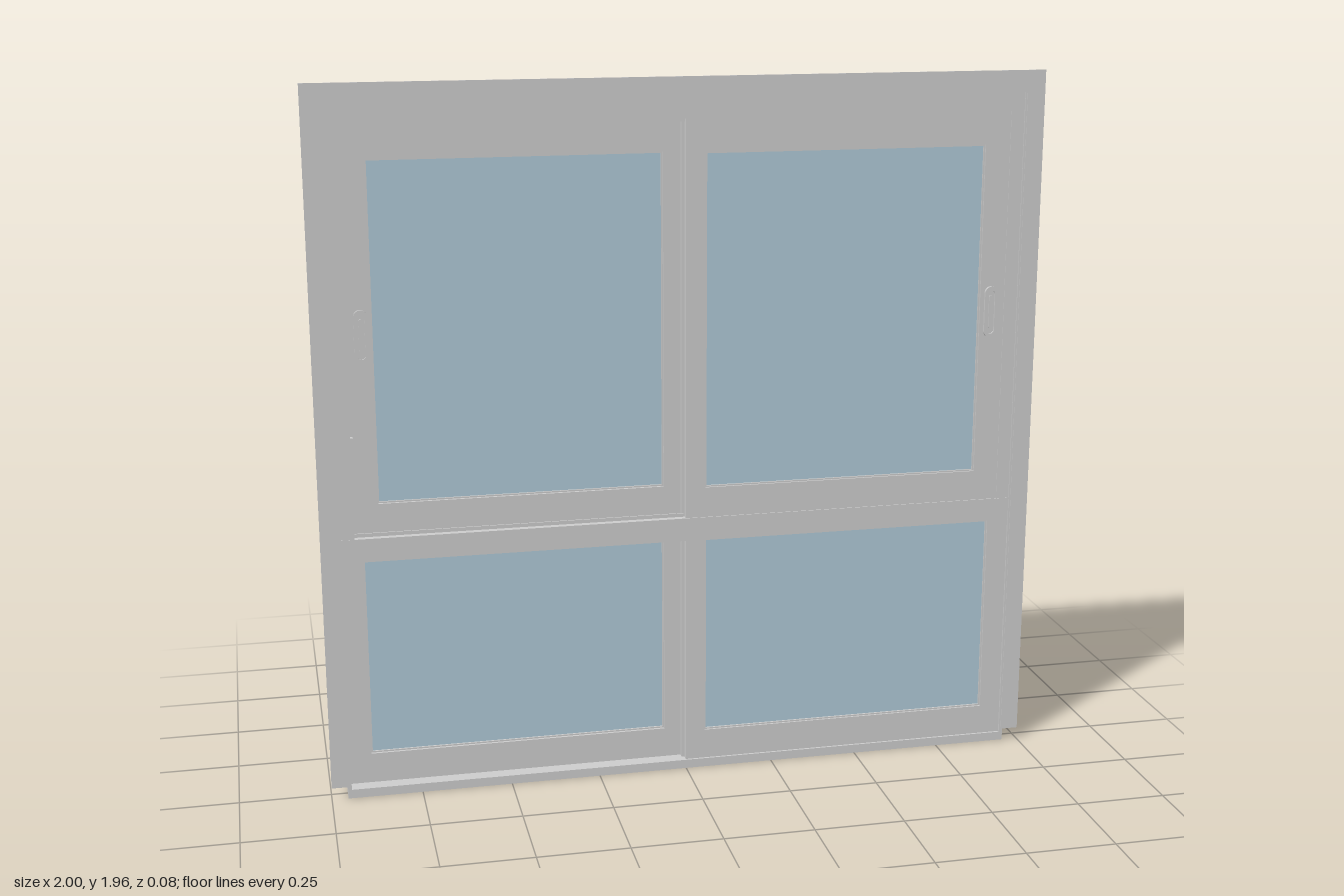
import * as THREE from 'three';

const grey = new THREE.MeshStandardMaterial({ color: 0xcccccc });
const blue = new THREE.MeshStandardMaterial({ color: 0xaec8d6 });

// Box given by its limits on each axis
function box(name, [x0, x1], [y0, y1], [z0, z1], material = grey) {
  const mesh = new THREE.Mesh(new THREE.BoxGeometry(x1 - x0, y1 - y0, z1 - z0), material);
  mesh.position.set((x0 + x1) / 2, (y0 + y1) / 2, (z0 + z1) / 2);
  mesh.name = name;
  return mesh;
}

function trace(path, x0, x1, y0, y1) {
  path.moveTo(x0, y0);
  path.lineTo(x1, y0);
  path.lineTo(x1, y1);
  path.lineTo(x0, y1);
  path.closePath();
  return path;
}

function extrude(name, shape, [z0, z1], curveSegments = 10) {
  const geometry = new THREE.ExtrudeGeometry(shape, { depth: z1 - z0, bevelEnabled: false, curveSegments });
  geometry.translate(0, 0, z0);
  const mesh = new THREE.Mesh(geometry, grey);
  mesh.name = name;
  return mesh;
}

// Rectangular frame with a rectangular opening
function ring(name, outer, inner, z) {
  const shape = trace(new THREE.Shape(), ...outer);
  shape.holes.push(trace(new THREE.Path(), ...inner));
  return extrude(name, shape, z);
}

// Sash: frame, thin glazing bead and pane
function sash(name, outer, inner, z) {
  const group = new THREE.Group();
  group.name = name;
  const [x0, x1, y0, y1] = inner;
  const mid = (z[0] + z[1]) / 2;
  const b = 0.004;
  group.add(
    ring('sashFrame', outer, inner, z),
    ring('glazingBead', inner, [x0 + b, x1 - b, y0 + b, y1 - b], [mid - 0.009, mid + 0.009]),
    box('glass', [x0, x1], [y0, y1], [mid - 0.004, mid + 0.004], blue)
  );
  return group;
}

function stadium(path, r, h) {
  path.absarc(0, h, r, 0, Math.PI, false);
  path.absarc(0, -h, r, Math.PI, 2 * Math.PI, false);
  path.closePath();
  return path;
}

// Rounded pull with a raised rim and a grip inside
function pull(name, x, z) {
  const group = new THREE.Group();
  group.name = name;
  const rim = stadium(new THREE.Shape(), 0.018, 0.054);
  rim.holes.push(stadium(new THREE.Path(), 0.011, 0.05));
  group.add(
    extrude('pullRim', rim, [0, 0.007]),
    extrude('pullBase', stadium(new THREE.Shape(), 0.012, 0.05), [0, 0.002]),
    extrude('pullGrip', stadium(new THREE.Shape(), 0.005, 0.042), [0, 0.005])
  );
  group.position.set(x, 1.29, z);
  return group;
}

export function createModel() {
  const model = new THREE.Group();
  model.name = 'slidingWindow';
  const front = [0.003, 0.031];
  const back = [-0.035, -0.003];

  // Thin mounting flange, open at the bottom
  const flange = new THREE.Shape();
  [[-1, 0.035], [-0.95, 0.035], [-0.95, 1.905], [0.95, 1.905], [0.95, 0.035], [1, 0.035], [1, 1.955], [-1, 1.955]]
    .forEach(([x, y], i) => (i ? flange.lineTo(x, y) : flange.moveTo(x, y)));
  model.add(extrude('mountingFlange', flange, [0.035, 0.039]));

  // Outer frame, upper liner and transom
  model.add(
    ring('outerFrame', [-0.955, 0.955, 0, 1.91], [-0.945, 0.945, 0.025, 1.895], [-0.039, 0.037]),
    ring('upperLiner', [-0.945, 0.945, 0.7, 1.895], [-0.908, 0.908, 0.745, 1.845], [-0.034, 0.033]),
    box('transom', [-0.945, 0.945], [0.68, 0.745], [-0.037, 0.034])
  );

  // Guide ribs along the empty track beside each sash
  for (const y of [0.745, 1.835]) {
    model.add(
      box('frontTrack', [-0.908, 0], [y, y + 0.01], [0.012, 0.016]),
      box('backTrack', [0, 0.908], [y, y + 0.01], [-0.02, -0.016])
    );
  }

  // Sashes: right-hand pair at the back, left-hand pair at the front
  model.add(
    sash('upperRightSash', [-0.908, 0, 0.745, 1.845], [-0.84, -0.055, 0.83, 1.755], back),
    sash('upperLeftSash', [0, 0.908, 0.745, 1.845], [0.055, 0.838, 0.83, 1.755], front),
    sash('lowerRightSash', [-0.945, 0, 0.025, 0.72], [-0.885, -0.055, 0.11, 0.68], back),
    sash('lowerLeftSash', [0, 0.945, 0.025, 0.72], [0.055, 0.885, 0.11, 0.68], front)
  );

  // Interlocks closing the gap between the two sash planes
  for (const [y0, y1] of [[0.025, 0.68], [0.745, 1.845]]) {
    model.add(box('interlock', [-0.008, 0.008], [y0, y1], [-0.012, 0.012]));
  }

  // Hardware
  model.add(
    pull('rightPull', -0.868, back[1]),
    pull('leftPull', 0.868, front[1]),
    box('latch', [-0.908, -0.9], [0.9, 1.02], [-0.003, 0.012])
  );
  return model;
}
